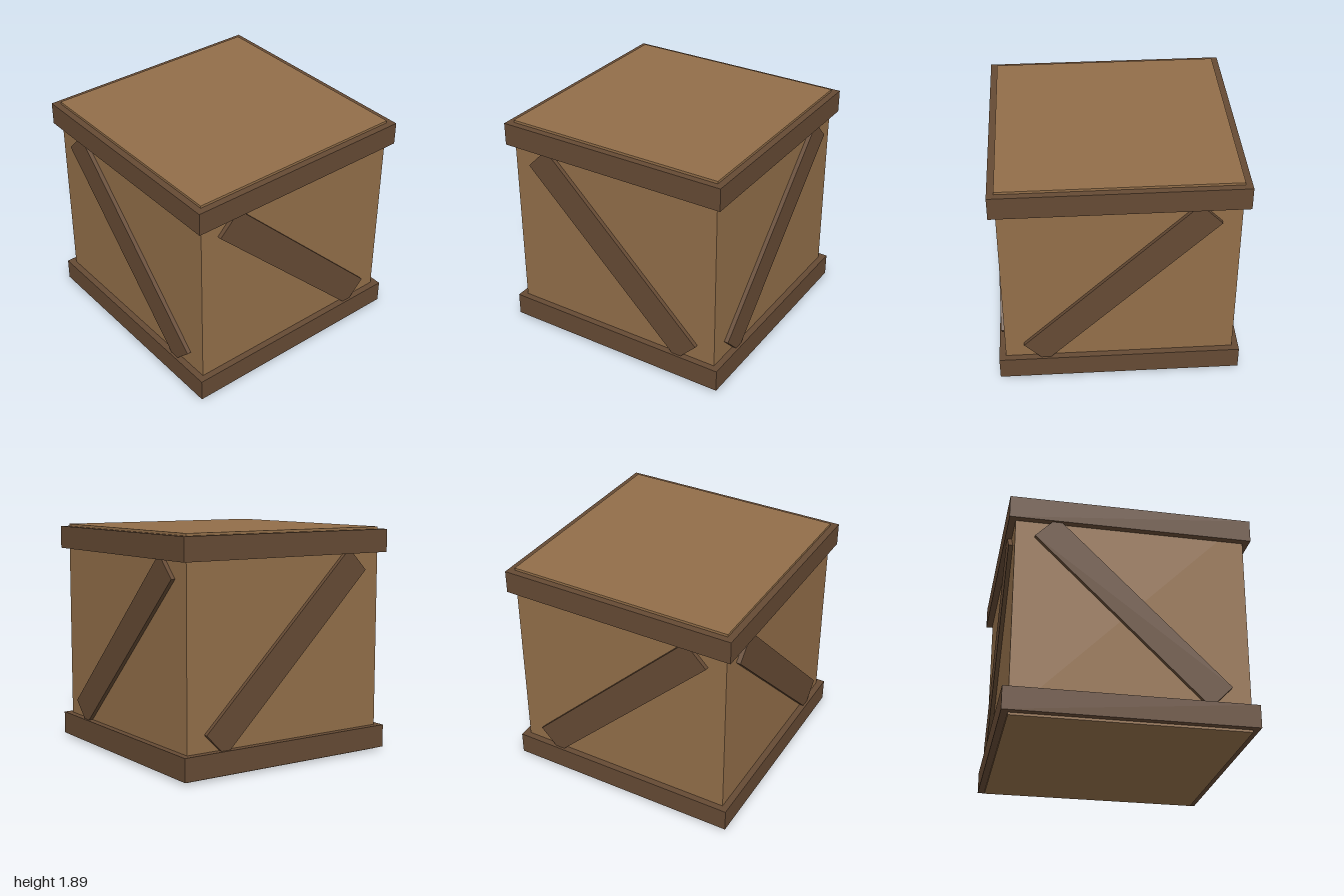
import * as THREE from 'three';

export function createModel() {
  const crate = new THREE.Group();
  crate.name = 'crate';

  const panelWood = new THREE.MeshStandardMaterial({ color: 0x926e49 });
  panelWood.name = 'panelWood';
  const trimWood = new THREE.MeshStandardMaterial({ color: 0x654a34 });
  trimWood.name = 'trimWood';

  const SIZE = 1.89;            // edge of the inner box
  const MID = SIZE / 2;

  function addBox(parent, name, w, h, d, material, x, y, z) {
    const mesh = new THREE.Mesh(new THREE.BoxGeometry(w, h, d), material);
    mesh.name = name;
    mesh.position.set(x, y, z);
    parent.add(mesh);
    return mesh;
  }

  // Inner box
  addBox(crate, 'body', SIZE, SIZE, SIZE, panelWood, 0, MID, 0);

  // Bands around the bottom and top
  addBox(crate, 'bottomBand', 2, 0.19, 2, trimWood, 0, 0.115, 0);
  addBox(crate, 'topBand', 2, 0.19, 2, trimWood, 0, SIZE - 0.115, 0);

  // Diagonal braces: the front and back ones drop towards +x, the side ones towards +z
  const braces = [
    ['frontBrace', 0, -1],
    ['backBrace', Math.PI, 1],
    ['leftBrace', Math.PI / 2, 1],
    ['rightBrace', -Math.PI / 2, -1],
  ];
  const tilt = THREE.MathUtils.degToRad(44.4);
  for (const [name, turn, slope] of braces) {
    const side = new THREE.Group();
    side.name = name;
    side.rotation.y = turn;
    const plank = addBox(side, name + 'Plank', 1.96, 0.254, 0.06, trimWood, 0, MID, 0.95);
    plank.rotation.z = slope * tilt;
    crate.add(side);
  }

  return crate;
}
